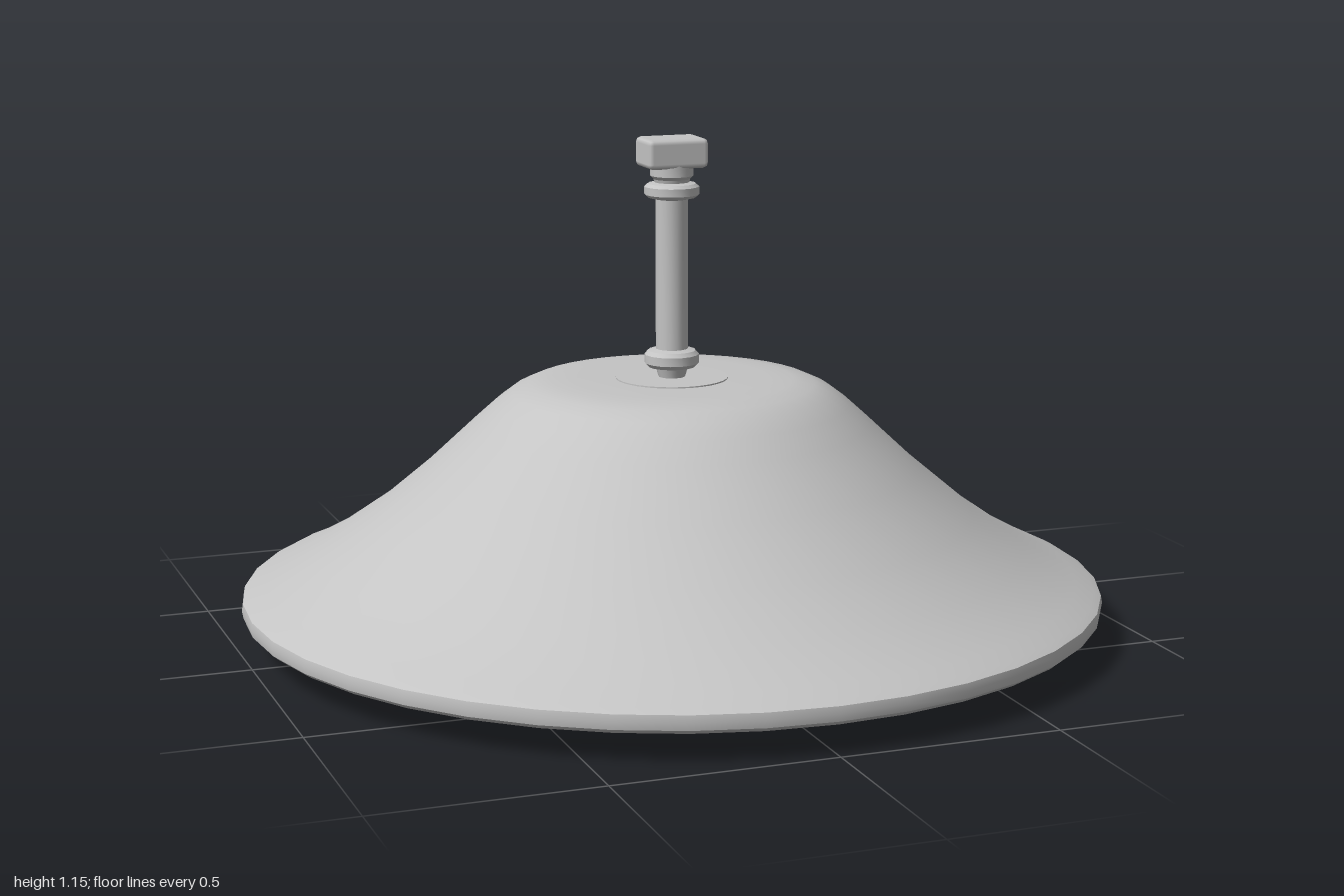
import * as THREE from 'three';
import { toCreasedNormals } from 'three/addons/utils/BufferGeometryUtils.js';
import { RoundedBoxGeometry } from 'three/addons/geometries/RoundedBoxGeometry.js';

export function createModel() {
  const group = new THREE.Group();
  const metal = new THREE.MeshStandardMaterial({ color: 0xc4c4c4 });
  metal.name = 'grey metal';

  const add = (name, geometry) => {
    const mesh = new THREE.Mesh(geometry, metal);
    mesh.name = name;
    group.add(mesh);
    return mesh;
  };
  // Turned part: profile of [radius, height] running up the outside
  const turned = (name, profile, sides, crease = 0.5) => {
    const points = profile.map(([r, y]) => new THREE.Vector2(r, y));
    return add(name, toCreasedNormals(new THREE.LatheGeometry(points, sides), crease));
  };

  // Shade: outer skin and rolled rim, then back down the inside
  const skin = [
    [0.94, 0.135], [0.82, 0.2], [0.7, 0.283], [0.57, 0.392], [0.46, 0.495],
    [0.41, 0.54], [0.37, 0.57], [0.33, 0.588], [0.28, 0.596], [0.22, 0.598], [0, 0.598],
  ];
  const inside = skin.map(([r, y]) => [Math.max(0, r - 0.012), y - 0.016]).reverse();
  turned('shade', [
    [0.965, 0.065], [0.985, 0.065], [0.997, 0.075], [1, 0.092], [0.997, 0.108], [0.98, 0.118],
    ...skin, ...inside, [0.965, 0.105], [0.965, 0.065],
  ], 40, 0.7);

  // Thin plate where the rod passes through the shade
  turned('topPlate', [[0.13, 0.596], [0.13, 0.601], [0, 0.601]], 32);

  // Hanging rod with a stepped collar at each end
  turned('rod', [[0.037, 0.64], [0.037, 1.04]], 16);
  turned('lowerCollar', [
    [0.03, 0.598], [0.037, 0.622], [0.055, 0.625], [0.063, 0.634],
    [0.063, 0.654], [0.055, 0.663], [0.037, 0.667],
  ], 16);
  turned('upperCollar', [
    [0.037, 1.014], [0.055, 1.018], [0.063, 1.025], [0.063, 1.043],
    [0.055, 1.05], [0.04, 1.053], [0.042, 1.06], [0.05, 1.068], [0.05, 1.095],
  ], 16);

  // Bevelled mounting block on top
  const block = add('mountingBlock', new RoundedBoxGeometry(0.145, 0.068, 0.104, 1, 0.012));
  block.position.y = 1.121;

  // Lamp holder under the shade
  turned('lampHolder', [
    [0.07, 0.25], [0.075, 0.36], [0.1, 0.368], [0.113, 0.382], [0.113, 0.41],
    [0.1, 0.425], [0.085, 0.43], [0.085, 0.535], [0.12, 0.542], [0.13, 0.555], [0.13, 0.585],
  ], 20);

  // Bulb
  turned('bulb', [
    [0, 0], [0.045, 0.005], [0.095, 0.032], [0.135, 0.075], [0.158, 0.125],
    [0.158, 0.17], [0.138, 0.22], [0.105, 0.255], [0.07, 0.275],
  ], 16, 0.42);

  return group;
}
